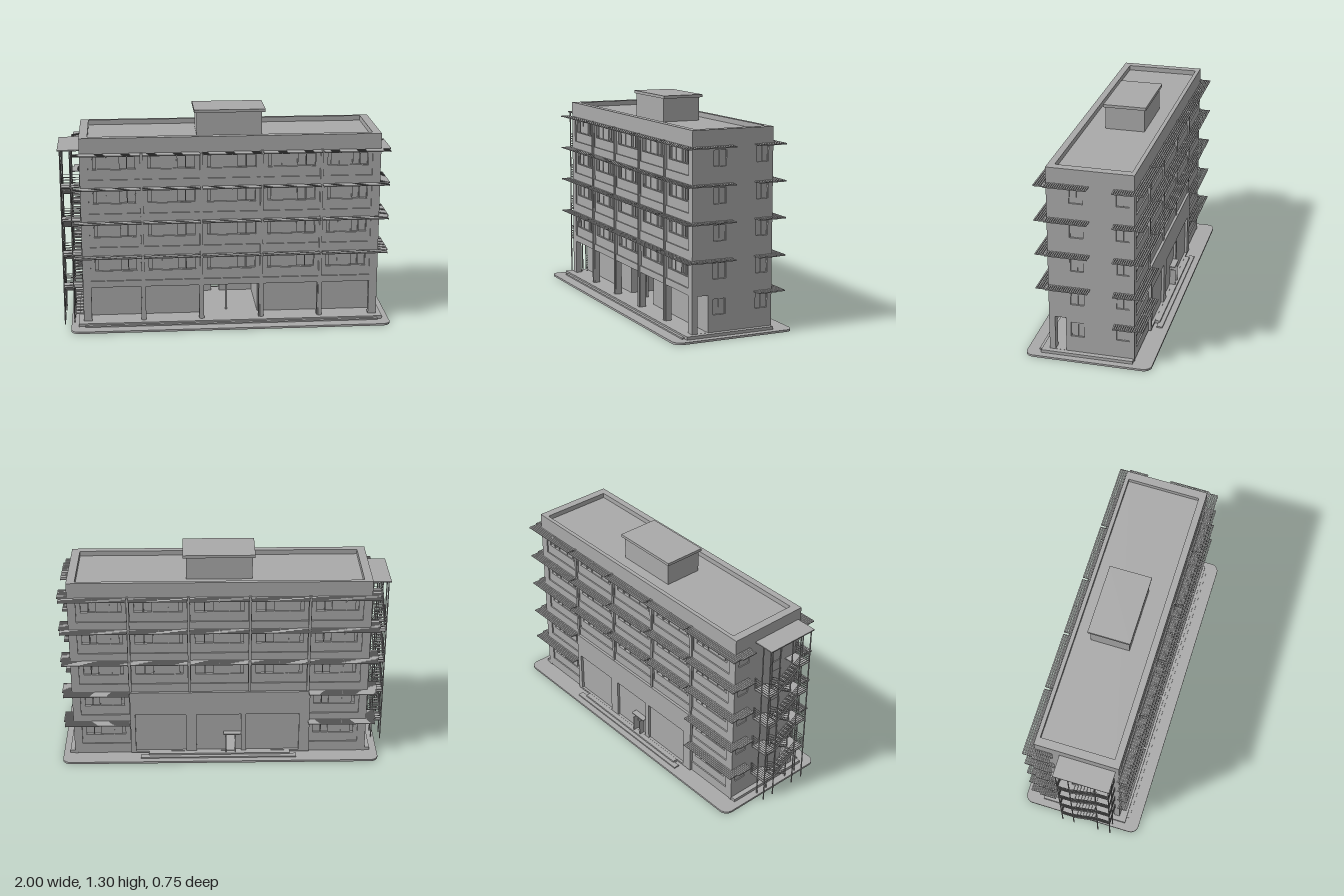
import * as THREE from 'three';

export function createModel() {
  const root = new THREE.Group();
  const mat = new THREE.MeshStandardMaterial({ color: 0xaaaaaa });
  mat.name = 'concrete grey';

  const add = (name, geo, parent = root) => {
    const m = new THREE.Mesh(geo, mat);
    m.name = name;
    parent.add(m);
    return m;
  };
  const group = (name) => {
    const g = new THREE.Group();
    g.name = name;
    root.add(g);
    return g;
  };
  // box given by its limits on each axis
  const box = (name, x0, x1, y0, y1, z0, z1, parent) => {
    const m = add(name, new THREE.BoxGeometry(x1 - x0, y1 - y0, z1 - z0), parent);
    m.position.set((x0 + x1) / 2, (y0 + y1) / 2, (z0 + z1) / 2);
    return m;
  };
  const rectPath = (p, [a, b, c, d]) => {
    p.moveTo(a, c); p.lineTo(b, c); p.lineTo(b, d); p.lineTo(a, d); p.closePath();
    return p;
  };
  // upright plate [x0, x1, y0, y1] with rectangular holes
  const wall = (name, rect, holes, depth, parent) => {
    const s = rectPath(new THREE.Shape(), rect);
    holes.forEach((h) => s.holes.push(rectPath(new THREE.Path(), h)));
    return add(name, new THREE.ExtrudeGeometry(s, { depth, bevelEnabled: false }), parent);
  };
  // thin round bar between two points
  const bar = (name, a, b, r, parent) => {
    const A = new THREE.Vector3(...a), B = new THREE.Vector3(...b);
    const m = add(name, new THREE.CylinderGeometry(r, r, A.distanceTo(B), 6), parent);
    m.position.copy(A).add(B).multiplyScalar(0.5);
    m.quaternion.setFromUnitVectors(new THREE.Vector3(0, 1, 0), B.sub(A).normalize());
  };

  const levels = [1.08, 0.87, 0.66, 0.445];
  const ground = 0.24;
  const bays = [[-0.82, -0.515], [-0.495, -0.16], [-0.14, 0.205], [0.225, 0.565], [0.585, 0.88]];
  const piers = [-0.505, -0.15, 0.215, 0.575];

  // ground slab with rounded corners
  const r = 0.05, X0 = -0.945, X1 = 1, Z = 0.373;
  const s = new THREE.Shape();
  s.moveTo(X0 + r, -Z); s.lineTo(X1 - r, -Z); s.absarc(X1 - r, -Z + r, r, -Math.PI / 2, 0);
  s.lineTo(X1, Z - r); s.absarc(X1 - r, Z - r, r, 0, Math.PI / 2);
  s.lineTo(X0 + r, Z); s.absarc(X0 + r, Z - r, r, Math.PI / 2, Math.PI);
  s.lineTo(X0, -Z + r); s.absarc(X0 + r, -Z + r, r, Math.PI, Math.PI * 1.5);
  add('pavement', new THREE.ExtrudeGeometry(s, { depth: 0.012, bevelEnabled: false })).rotation.x = -Math.PI / 2;

  // terrace and steps
  box('terrace', -0.9, 0.96, 0.01, 0.03, -0.26, 0.285);
  box('frontStep', -0.86, 0.93, 0.01, 0.02, 0.28, 0.303);
  box('backStepUpper', -0.4, 0.47, 0.01, 0.03, -0.31, -0.26);
  box('backStepLower', -0.44, 0.52, 0.01, 0.02, -0.335, -0.3);

  // solid core, leaving the front arcade and the lobby open
  const body = group('body');
  box('upperCore', -0.85, 0.91, 0.245, 1.145, -0.244, 0.212, body);
  box('lowerCoreRight', -0.85, -0.13, 0.02, 0.25, -0.244, 0.14, body);
  box('lowerCoreLeft', 0.2, 0.91, 0.02, 0.25, -0.244, 0.14, body);
  box('lobbyPost', 0.003, 0.015, 0.03, 0.245, 0.09, 0.102, body);

  const windowOf = ([a, b], c) => [a + 0.025, b - 0.025, c - 0.1, c - 0.022];
  const bayOf = ([a, b], c) => [a, b, c - 0.16, c - 0.006];
  // mullions, sill and sash filling one window
  const frame = ([a, b, c, d], z, g) => {
    for (const t of [0, 0.3, 0.62, 0.8, 1]) {
      const x = a + t * (b - a);
      box('mullion', x - 0.003, x + 0.003, c, d, z - 0.006, z + 0.006, g);
    }
    box('sill', a, b, c - 0.003, c + 0.003, z - 0.009, z + 0.009, g);
    box('pane', a + 0.02, a + (b - a) * 0.61, c, d, z - 0.003, z + 0.003, g);
  };

  // front and back walls: window layer, then a thinner layer framing each bay
  const front = group('frontFacade'), back = group('backFacade');
  const frontWin = [], frontBay = [];
  levels.forEach((c) => bays.forEach((b) => { frontWin.push(windowOf(b, c)); frontBay.push(bayOf(b, c)); }));
  const endBays = [bays[0], bays[4]];
  const backWin = [...frontWin, ...endBays.map((b) => windowOf(b, ground))]
    .filter((w) => w[3] > 0.5 || w[0] < -0.6 || w[0] > 0.58);
  const backBay = [...frontBay, ...endBays.map((b) => bayOf(b, ground))]
    .filter((w) => w[3] > 0.5 || w[0] < -0.6 || w[0] > 0.58);
  const door = [-0.06, -0.01, 0.031, 0.14];
  wall('frontWindowWall', [-0.85, 0.91, 0.245, 1.15], frontWin, 0.02, front).position.z = 0.212;
  wall('frontBayFrames', [-0.85, 0.91, 0.245, 1.15], frontBay, 0.008, front).position.z = 0.232;
  wall('backWindowWall', [-0.85, 0.91, 0.02, 1.15], [...backWin, door], 0.012, back).position.z = -0.256;
  wall('backBayFrames', [-0.85, 0.91, 0.02, 1.15], [...backBay, door], 0.008, back).position.z = -0.264;
  frontWin.forEach((w) => frame(w, 0.218, front));
  backWin.forEach((w) => frame(w, -0.25, back));

  // arcade columns and tall pilasters
  piers.forEach((x) => {
    box('arcadeColumn', x - 0.015, x + 0.015, 0.025, 0.25, 0.205, 0.24, front);
    box('frontPilaster', x - 0.008, x + 0.008, 0.025, 1.085, 0.235, 0.248, front);
    box('backPilaster', x - 0.008, x + 0.008, 0.44, 1.085, -0.272, -0.26, back);
  });
  box('cornerColumn', -0.85, -0.82, 0.025, 0.25, 0.205, 0.24, front);
  box('cornerColumn', 0.88, 0.91, 0.025, 0.25, 0.205, 0.24, front);

  // entrance block on the back with three tall recesses and an open door
  wall('entranceBlock', [-0.52, 0.58, 0.02, 0.445],
    [[-0.456, -0.13, 0.031, 0.29], [-0.1, 0.175, 0.031, 0.29], [0.24, 0.55, 0.031, 0.29]], 0.016, back).position.z = -0.28;
  box('doorCanopy', -0.1, 0.01, 0.155, 0.161, -0.3, -0.262, back);
  for (const x of [-0.066, -0.008]) box('doorLeaf', x, x + 0.005, 0.03, 0.132, -0.3, -0.262, back);

  // side walls: shape x runs along the building's depth
  const passage = [0.14, 0.205, 0.031, 0.245];
  const sideWall = (name, x, wins) => {
    const g = group(name);
    g.rotation.y = -Math.PI / 2;
    g.position.x = x;
    wall('sidePanel', [-0.264, 0.24, 0.012, 1.15], [passage, ...wins], 0.02, g);
    wins.forEach((w) => {
      box('sidePane', w[0], w[1], w[2], w[3], 0.011, 0.014, g);
      for (const t of [0, 0.5, 1]) {
        const p = w[0] + t * (w[1] - w[0]);
        box('sideMullion', p - 0.003, p + 0.003, w[2], w[3], 0.006, 0.014, g);
      }
    });
  };
  const leftWins = [], rightWins = [];
  [...levels, ground].forEach((c) => {
    leftWins.push([-0.235, -0.16, c - 0.1, c - 0.01], [0.03, 0.11, c - 0.11, c - 0.02]);
    rightWins.push([-0.235, -0.16, c - 0.1, c - 0.01], [0.03, 0.1, c - 0.195, c - 0.05]);
  });
  sideWall('leftSide', 0.93, leftWins);
  sideWall('rightSide', -0.85, rightWins);

  // parapet, roof hut and its cap
  const parapet = wall('parapet', [-0.87, 0.93, -0.24, 0.264], [[-0.82, 0.88, -0.2, 0.24]], 0.035);
  parapet.rotation.x = -Math.PI / 2;
  parapet.position.y = 1.14;
  box('roofHut', -0.166, 0.228, 1.14, 1.285, -0.15, 0.085);
  box('roofHutCap', -0.182, 0.248, 1.285, 1.302, -0.162, 0.094);

  // louvred sunshades
  const shades = group('sunshades');
  const longShade = (x0, x1, y, zWall, dir) => {
    for (let i = 0; i < 5; i++) {
      const z = zWall + dir * (0.008 + i * 0.012);
      box('louvre', x0, x1, y - 0.003, y + 0.003, z - 0.004, z + 0.004, shades);
    }
    for (const x of [x0, (x0 + x1) / 2, x1]) {
      box('bracket', x - 0.002, x + 0.002, y - 0.005, y + 0.002,
        Math.min(zWall, zWall + dir * 0.06), Math.max(zWall, zWall + dir * 0.06), shades);
    }
  };
  const sideShade = (z0, z1, y, x0, x1) => {
    for (let z = z0 + 0.004; z < z1; z += 0.012) box('shortLouvre', x0, x1, y - 0.003, y + 0.003, z - 0.004, z + 0.004, shades);
    for (const x of [x0, x1]) box('sideBracket', x - 0.002, x + 0.002, y - 0.004, y + 0.003, z0, z1, shades);
  };
  const edges = [-0.925, ...piers, 0.985];
  [...levels, ground].forEach((y) => {
    for (let i = 0; i < 5; i++) {
      const a = edges[i] + 0.008, b = edges[i + 1] - 0.008;
      if (y > ground) longShade(a, b, y, 0.24, 1);
      if (y > 0.5 || i === 0 || i === 4) longShade(a, b, y, -0.264, -1);
    }
    sideShade(-0.264, -0.15, y, 0.93, 0.987);
    sideShade(-0.264, -0.16, y, -0.927, -0.87);
    if (y > ground) sideShade(-0.005, 0.24, y, 0.93, 0.987);
  });

  // outside stair: roof, posts, landings, flights and railings
  const stair = group('fireStair');
  const xo = -0.985, xm = -0.927, xi = -0.872;
  box('stairRoof', -1, -0.865, 1.095, 1.102, -0.115, 0.22, stair);
  for (const z of [-0.105, -0.03, 0.13, 0.21]) {
    for (const x of [xo, xm]) bar('stairPost', [x, 0, z], [x, 1.097, z], 0.004, stair);
  }
  const rail = (a, b) => {
    for (let i = 1; i <= 5; i++) {
      const h = i * 0.016;
      bar('handrail', [a[0], a[1] + h, a[2]], [b[0], b[1] + h, b[2]], 0.0018, stair);
    }
    for (const p of [a, b]) bar('railPost', p, [p[0], p[1] + 0.08, p[2]], 0.0025, stair);
  };
  const flight = (x0, x1, y0, y1, z0, z1) => {
    for (let i = 0; i < 8; i++) {
      const t = (i + 0.5) / 8, y = y0 + t * (y1 - y0), z = z0 + t * (z1 - z0);
      box('tread', x0, x1, y - 0.002, y + 0.002, z - 0.009, z + 0.009, stair);
    }
    for (const x of [x0, x1]) bar('stringer', [x, y0, z0], [x, y1, z1], 0.004, stair);
    rail([x0, y0, z0], [x0, y1, z1]);
  };
  let below = 0.03;
  [0.24, 0.445, 0.66, 0.87].forEach((y) => {
    const mid = (below + y) / 2;
    flight(xm + 0.003, xi, below, mid, 0.13, -0.03);
    flight(xo, xm - 0.003, mid, y, -0.03, 0.13);
    box('halfLanding', xo, xi, mid - 0.003, mid + 0.003, -0.108, -0.03, stair);
    box('floorLanding', xo, xi, y - 0.003, y + 0.003, 0.13, 0.213, stair);
    rail([xo, mid, -0.03], [xo, mid, -0.106]);
    rail([xo, mid, -0.106], [xi, mid, -0.106]);
    rail([xo, y, 0.13], [xo, y, 0.211]);
    rail([xo, y, 0.211], [xi, y, 0.211]);
    below = y;
  });
  return root;
}
